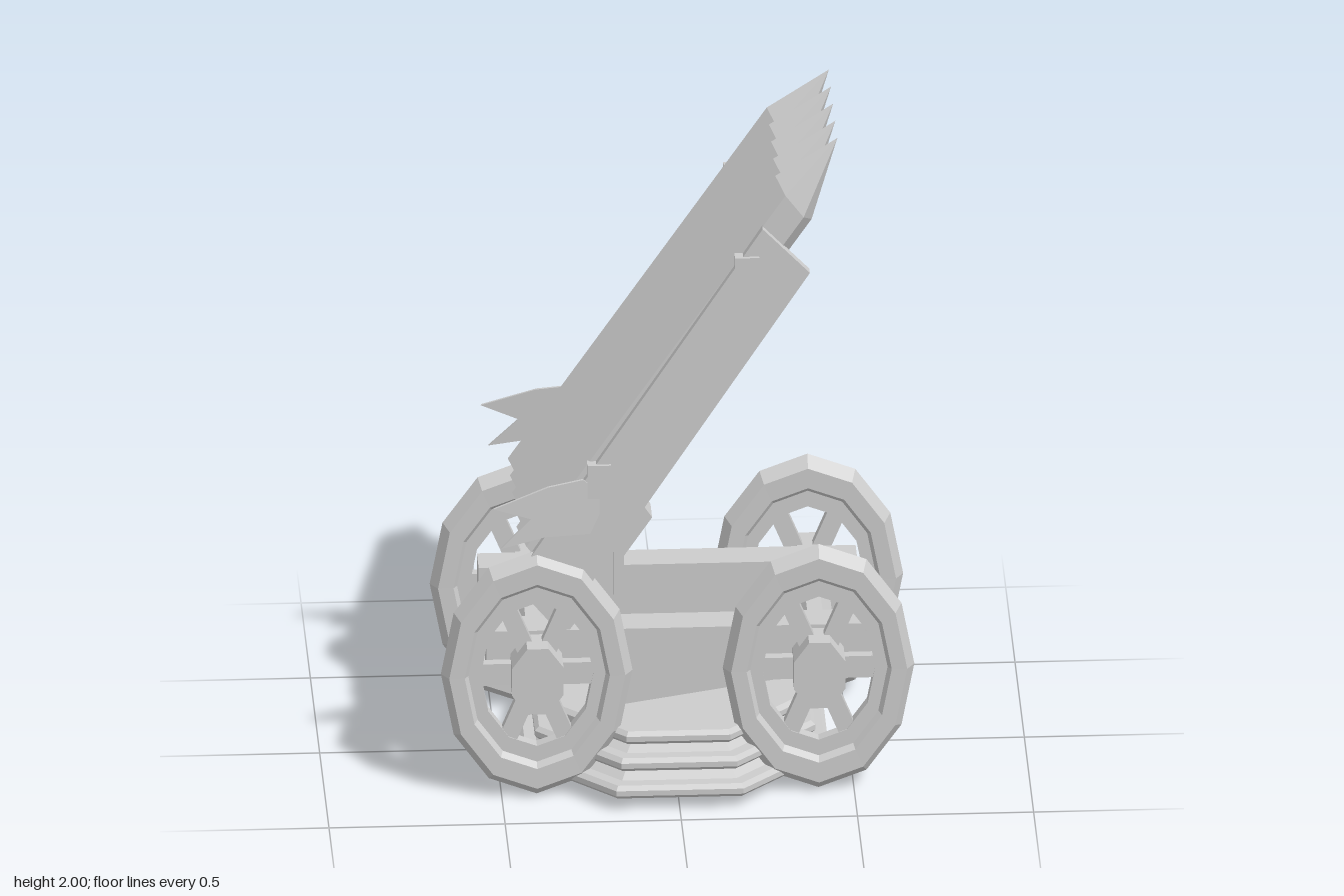
import * as THREE from 'three';

export function createModel() {
  const model = new THREE.Group();
  model.name = 'rocketLauncher';
  const grey = new THREE.MeshStandardMaterial({ color: 0xcccccc, flatShading: true });
  grey.name = 'plain grey';
  const STRETCH = 1.4; // round parts are taller than wide

  function add(parent, name, geometry, x = 0, y = 0, z = 0) {
    const mesh = new THREE.Mesh(geometry, grey);
    mesh.name = name;
    mesh.position.set(x, y, z);
    parent.add(mesh);
    return mesh;
  }
  const box = (name, x0, x1, y0, y1, z0, z1) => add(model, name,
    new THREE.BoxGeometry(x1 - x0, y1 - y0, z1 - z0), (x0 + x1) / 2, (y0 + y1) / 2, (z0 + z1) / 2);
  // Side outline extruded from z0 to z1
  function plate(parent, name, outline, z0, z1) {
    const shape = new THREE.Shape(outline.map(([x, y]) => new THREE.Vector2(x, y)));
    const geometry = new THREE.ExtrudeGeometry(shape, { depth: z1 - z0, bevelEnabled: false });
    return add(parent, name, geometry, 0, 0, z0);
  }
  const lathe = (points, sides, start = 0) => new THREE.LatheGeometry(
    points.map(([r, y]) => new THREE.Vector2(r, y)), sides, start);

  // Stepped octagonal base with bevelled rims
  const k = 1 / Math.cos(Math.PI / 8);
  const baseProfile = [[0, 0.04]];
  [[0.04, 0.436], [0.108, 0.398], [0.172, 0.356]].forEach(([y, r]) => {
    baseProfile.push([(r - 0.045) * k, y], [(r - 0.012) * k, y], [r * k, y + 0.012], [r * k, y + 0.028],
      [(r - 0.012) * k, y + 0.04], [(r - 0.045) * k, y + 0.04]);
  });
  baseProfile.push([0, 0.212]);
  add(model, 'steppedBase', lathe(baseProfile, 8, Math.PI / 8));

  // Wheels: twelve-sided rim, octagonal hub, six spokes
  const rimGeometry = lathe([[0.16, -0.018], [0.195, -0.018], [0.206, -0.035], [0.25, -0.036], [0.272, 0],
    [0.25, 0.036], [0.206, 0.035], [0.195, 0.018], [0.16, 0.018], [0.16, -0.018]], 12).rotateX(Math.PI / 2);
  const hubGeometry = new THREE.CylinderGeometry(0.079, 0.079, 0.1, 8, 1, false, Math.PI / 8).rotateX(Math.PI / 2);
  const spokeGeometry = new THREE.BoxGeometry(0.12, 0.048, 0.03).translate(0.115, 0, 0);
  for (const x of [-0.4, 0.4]) {
    for (const side of [-1, 1]) {
      const wheel = new THREE.Group();
      wheel.name = 'wheel';
      wheel.position.set(x, 0.385, side * 0.301);
      wheel.scale.y = STRETCH;
      add(wheel, 'rim', rimGeometry);
      add(wheel, 'hub', hubGeometry, 0, 0, side * 0.018);
      for (let i = 0; i < 6; i++) {
        add(wheel, 'spoke', spokeGeometry).rotation.z = i * Math.PI / 3;
      }
      model.add(wheel);
    }
    const axle = add(model, 'axle',
      new THREE.CylinderGeometry(0.057, 0.057, 0.56, 8, 1, false, Math.PI / 8).rotateX(Math.PI / 2), x, 0.392, 0);
    axle.scale.y = STRETCH;
  }

  // Parts on both sides of the chassis and launcher
  const finOutline = [[-0.527, 0.92], [-0.42, 0.88], [-0.505, 0.795], [-0.38, 0.82], [-0.25, 0.82],
    [-0.2, 0.93], [-0.27, 0.99], [-0.37, 0.975]];
  const railOutline = [[0.241, 1.76], [-0.43, 0.73], [-0.3, 0.58], [0.375, 1.62]];
  const strutOutline = [[-0.415, 0.585], [-0.32, 0.47], [-0.07, 0.84], [-0.15, 0.96]];
  const armOutline = [[-0.2, 0.25], [0.35, 0.335], [0.35, 0.365], [-0.2, 0.33]];
  for (const side of [-1, 1]) {
    const span = (a, b) => (side > 0 ? [a, b] : [-b, -a]);
    box('chassisBeam', -0.54, 0.535, 0.335, 0.495, ...span(0.163, 0.262));
    plate(model, 'lowerArm', armOutline, ...span(0.21, 0.258));
    plate(model, 'launcherStrut', strutOutline, ...span(0.165, 0.258));
    box('supportRod', -0.182, -0.152, 0.615, 0.84, ...span(0.272, 0.298));
    plate(model, 'sideRail', railOutline, ...(side > 0 ? [0.283, 0.312] : [-0.348, -0.315]));
    box('upperClip', 0.162, 0.231, 1.57, 1.675, ...span(0.285, 0.322));
    box('lowerClip', -0.257, -0.19, 0.932, 1.035, ...span(0.285, 0.322));
    // Ragged fin, splayed outwards towards the rear
    const fin = new THREE.Group();
    fin.name = 'tailFin';
    plate(fin, 'finBlade', finOutline.map(([x, y]) => [x + 0.2, y]), -0.004, 0.004);
    fin.position.set(-0.2, 0, side * 0.305);
    fin.rotation.y = side * 0.13;
    model.add(fin);
  }

  // Row of five hexagonal rockets with pointed noses
  const pack = new THREE.Group();
  pack.name = 'rocketPack';
  pack.scale.y = STRETCH;
  model.add(pack);
  const length = 1.066, nose = 0.181, radius = 0.0713;
  const body = new THREE.CylinderGeometry(radius, radius, length, 6, 1, false, Math.PI / 2)
    .translate(0, length / 2, 0);
  const cone = new THREE.ConeGeometry(radius, nose, 6, 1, false, Math.PI / 2)
    .translate(0, length + nose / 2, 0);
  for (let i = -2; i <= 2; i++) {
    const rocket = new THREE.Group();
    rocket.name = 'rocket';
    rocket.position.set(-0.4025, 0.5268, i * 0.114);
    rocket.rotation.z = THREE.MathUtils.degToRad(46.4 - 90);
    add(rocket, 'rocketBody', body);
    add(rocket, 'rocketNose', cone);
    pack.add(rocket);
  }
  return model;
}
